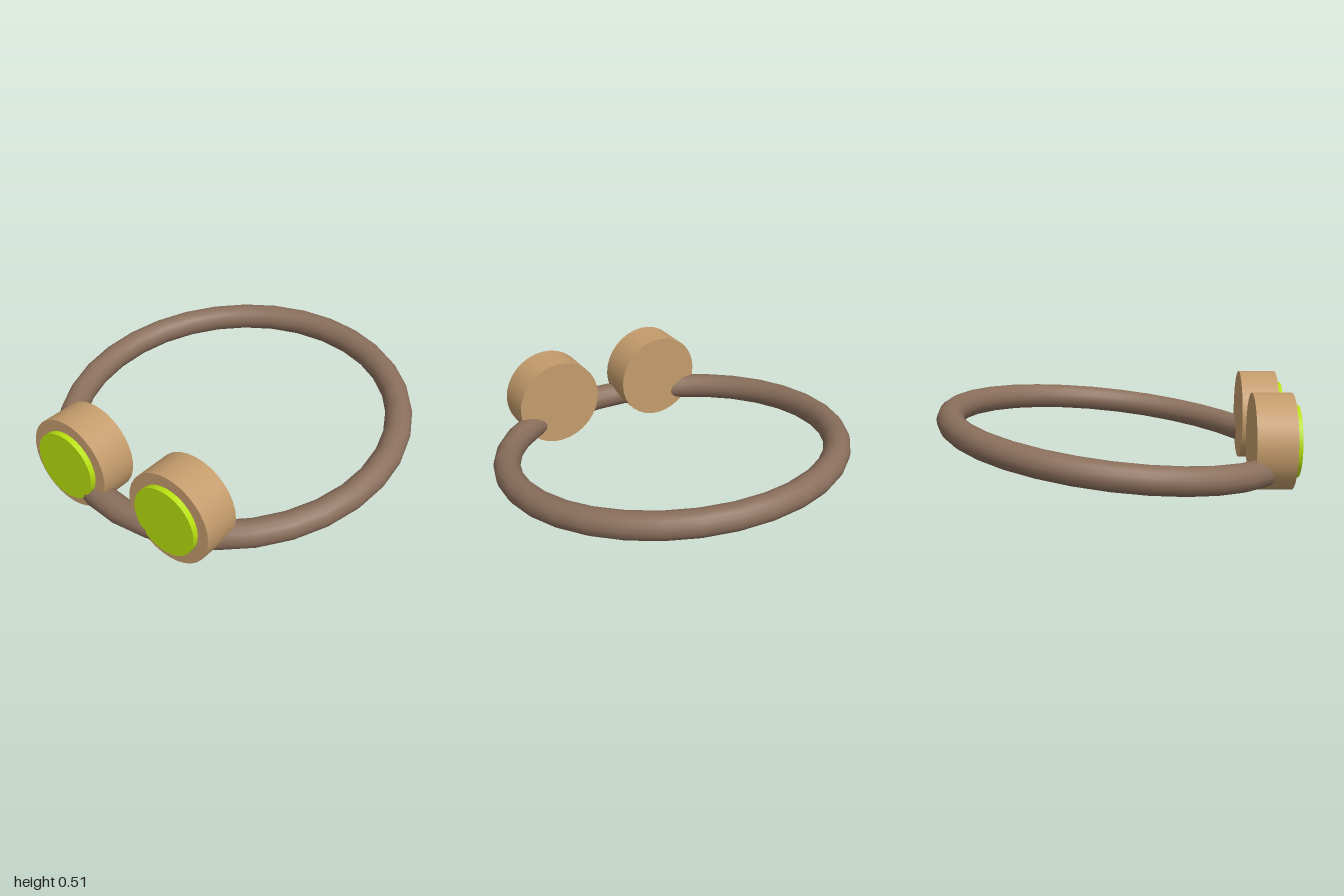
import * as THREE from 'three';

const material = (color) => new THREE.MeshStandardMaterial({ color });

export function createModel() {
  const model = new THREE.Group();
  const strapMaterial = material(0x8b6f5c);
  const rimMaterial = material(0xc49c6c);
  const lensMaterial = material(0xb8e00f);

  // Round strap, lifted slightly at the back
  const strap = new THREE.Mesh(new THREE.TorusGeometry(0.926, 0.074, 16, 32), strapMaterial);
  strap.name = 'strap';
  strap.rotation.x = Math.PI / 2 + 0.12;
  strap.position.set(0, 0.22, -0.003);
  model.add(strap);

  // Disc facing the front, spanning zBack to zFront
  const disc = (name, radius, zBack, zFront, mat) => {
    const geometry = new THREE.CylinderGeometry(radius, radius, zFront - zBack, 32);
    geometry.rotateX(Math.PI / 2);
    const mesh = new THREE.Mesh(geometry, mat);
    mesh.name = name;
    mesh.position.z = (zBack + zFront) / 2;
    return mesh;
  };

  // Two goggle eyepieces: rim and raised lens
  for (const side of [-1, 1]) {
    const eyepiece = new THREE.Group();
    eyepiece.name = side > 0 ? 'leftEyepiece' : 'rightEyepiece';
    eyepiece.add(disc('rim', 0.256, 0.72, 0.93, rimMaterial));
    eyepiece.add(disc('lens', 0.192, 0.88, 0.962, lensMaterial));
    eyepiece.position.set(side * 0.344, 0.257, 0);
    model.add(eyepiece);
  }

  return model;
}
